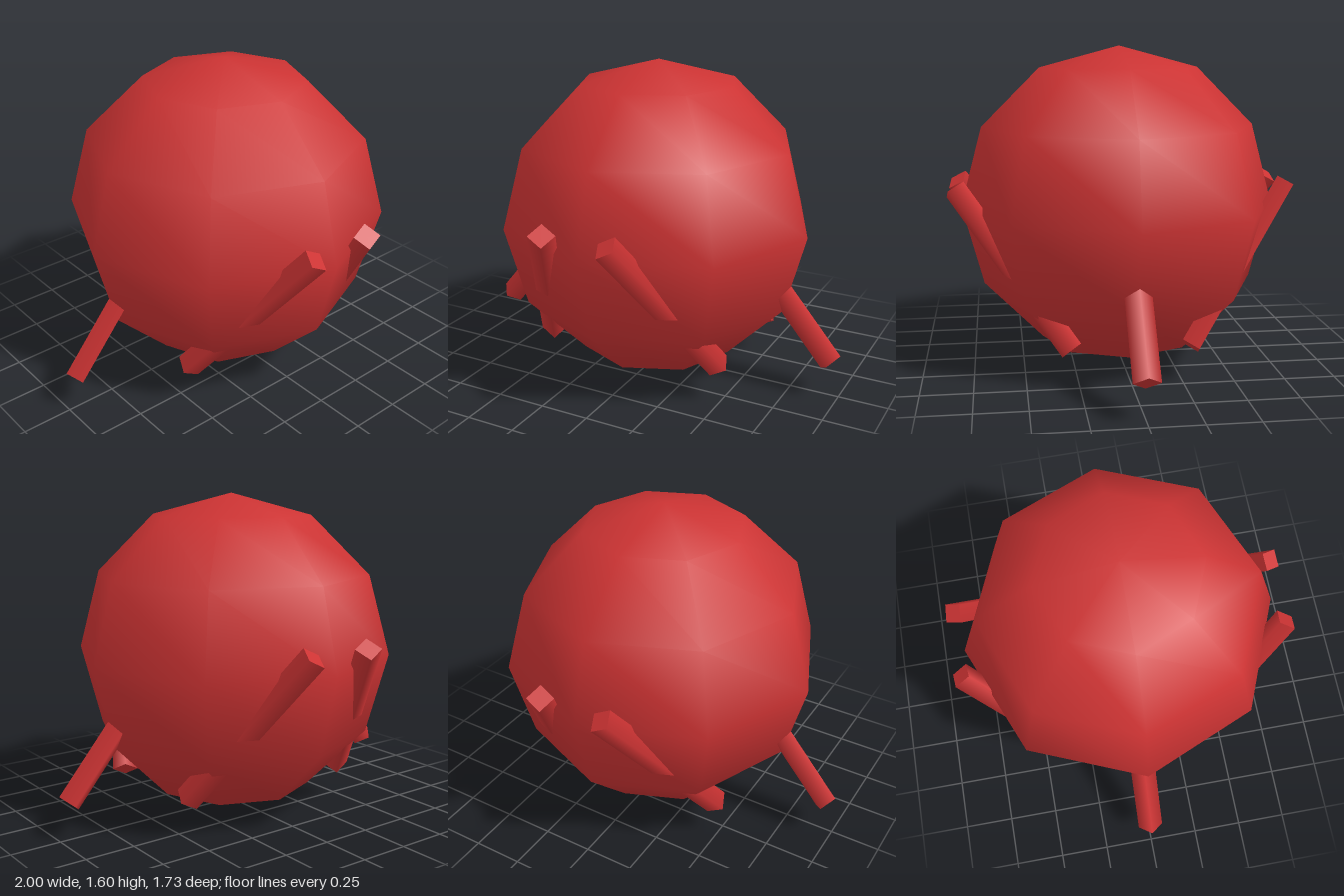
import * as THREE from 'three';

export function createModel() {
  const model = new THREE.Group();
  model.name = 'roundBug';
  const red = new THREE.MeshStandardMaterial({ color: 0xcc3333 });

  // Round low-poly body with smooth normals
  const body = new THREE.Mesh(new THREE.SphereGeometry(0.8, 8, 6), red);
  body.name = 'body';
  body.position.y = 0.8;
  model.add(body);

  // Six four-sided legs around the body, each tilted 0.7 rad
  const legGeometry = new THREE.CylinderGeometry(0.064, 0.064, 0.96, 4);
  for (let i = 0; i < 6; i++) {
    const angle = (i * Math.PI) / 3;
    const leg = new THREE.Mesh(legGeometry, red);
    leg.name = `leg${i + 1}`;
    leg.position.set(Math.cos(angle) * 0.64, 0.547, Math.sin(angle) * 0.64);
    leg.rotation.set(0, angle, 0.7, 'YXZ');
    model.add(leg);
  }
  return model;
}
